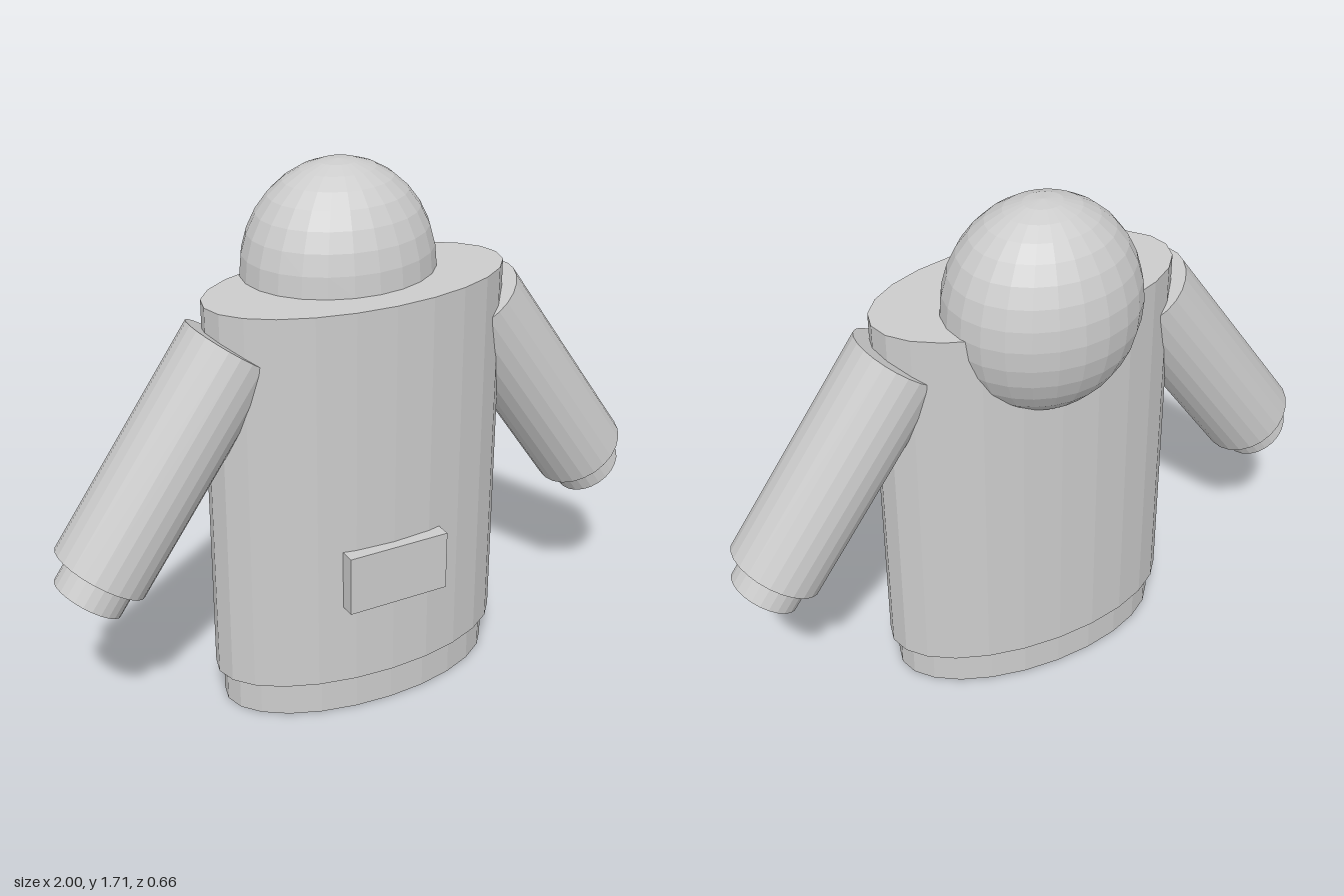
import * as THREE from 'three';

const SIDES = 24;
const CENTRE_Z = 0.05;

export function createModel() {
  const model = new THREE.Group();
  model.name = 'hoodedJacket';
  const fabric = new THREE.MeshStandardMaterial({ color: 0xcccccc, flatShading: true });
  fabric.name = 'grey fabric';

  function add(parent, name, geometry, x, y, z) {
    const mesh = new THREE.Mesh(geometry, fabric);
    mesh.name = name;
    mesh.position.set(x, y, z);
    parent.add(mesh);
    return mesh;
  }

  // Upright oval column between two heights
  function oval(name, rx, rz, y0, y1) {
    const geometry = new THREE.CylinderGeometry(1, 1, y1 - y0, SIDES).scale(rx, 1, rz);
    add(model, name, geometry, 0, (y0 + y1) / 2, CENTRE_Z);
  }

  // Jacket body and the narrower hem band
  oval('body', 0.495, 0.25, 0.115, 1.365);
  oval('hem', 0.468, 0.24, 0, 0.115);

  // Hood, sunk into the top and back of the body
  const hood = new THREE.SphereGeometry(1, SIDES, 16).scale(0.31, 0.34, 0.265);
  add(model, 'hood', hood, 0, 1.365, -0.065);

  // Front pocket
  add(model, 'pocket', new THREE.BoxGeometry(0.34, 0.196, 0.066), 0, 0.488, 0.3);

  // Slanted sleeves with cuffs, hung from the shoulder end
  const sleeveLength = 0.782;
  const cuffLength = 0.088;
  for (const side of [1, -1]) {
    const arm = new THREE.Group();
    arm.name = side > 0 ? 'leftArm' : 'rightArm';
    arm.position.set(side * 0.415, 1.232, CENTRE_Z);
    arm.rotation.z = side * THREE.MathUtils.degToRad(35);
    model.add(arm);
    add(arm, 'sleeve', new THREE.CylinderGeometry(0.1525, 0.1525, sleeveLength, SIDES),
      0, -sleeveLength / 2, 0);
    add(arm, 'cuff', new THREE.CylinderGeometry(0.113, 0.113, cuffLength, SIDES),
      side * -0.007, -sleeveLength - cuffLength / 2, 0);
  }
  return model;
}
